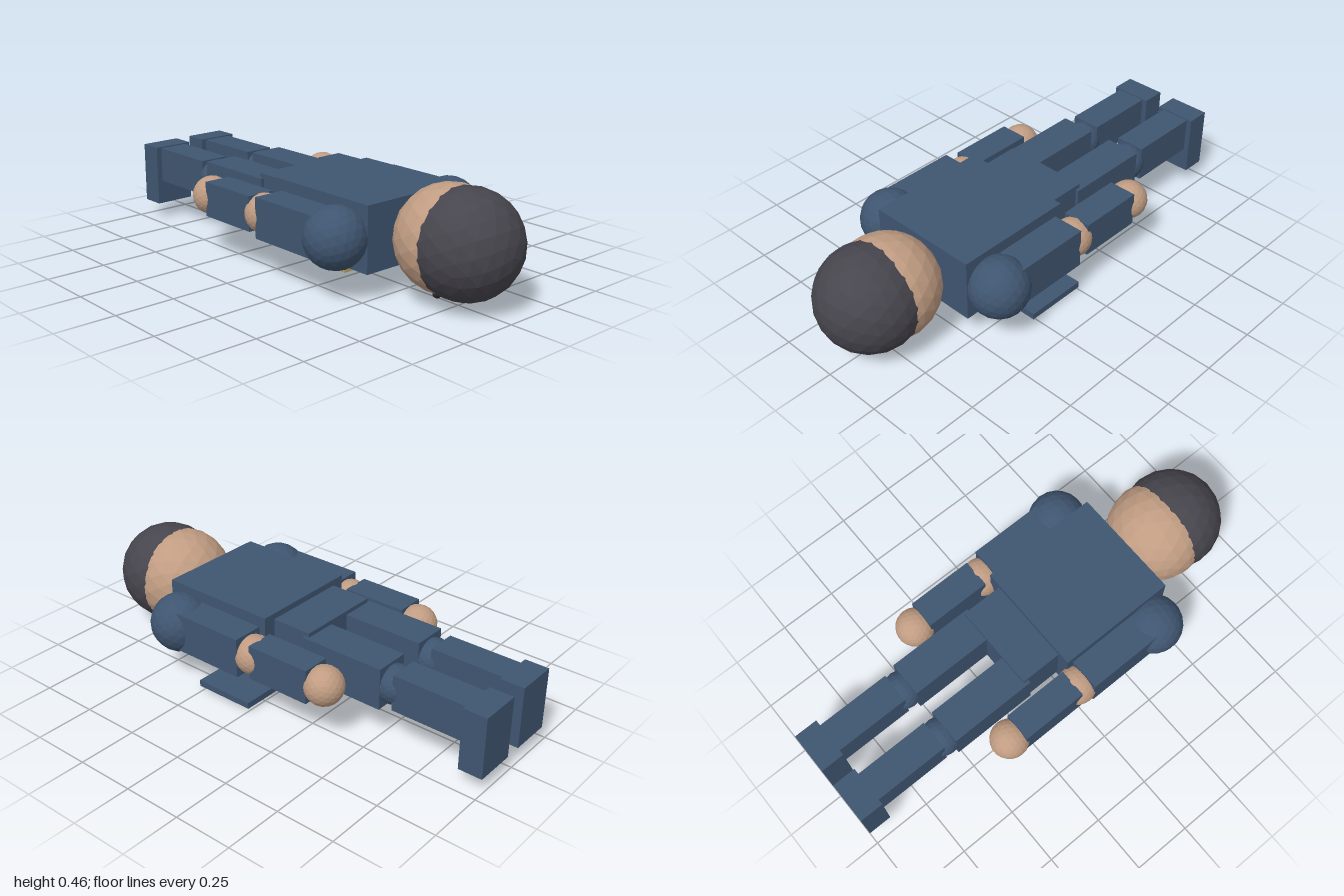
import * as THREE from 'three';

const mat = (name, color) => {
  const m = new THREE.MeshStandardMaterial({ color });
  m.name = name;
  return m;
};

export function createModel() {
  const group = new THREE.Group();
  const blue = mat('uniform blue', 0x3f5570);
  const skin = mat('skin', 0xc09c82);
  const dark = mat('hair charcoal', 0x47454d);
  const eyeDark = mat('eye black', 0x26262b);
  const gold = mat('gold trim', 0xb8a262);
  const teal = mat('screen teal', 0x559db4);

  const add = (name, geometry, material) => {
    const mesh = new THREE.Mesh(geometry, material);
    mesh.name = name;
    group.add(mesh);
  };

  // Box given by its min and max along each axis
  const box = (name, material, [x0, x1], [y0, y1], [z0, z1]) => {
    const g = new THREE.BoxGeometry(x1 - x0, y1 - y0, z1 - z0);
    g.translate((x0 + x1) / 2, (y0 + y1) / 2, (z0 + z1) / 2);
    add(name, g, material);
  };

  // Faceted ball with a vertex pointing along z
  const ball = (name, material, r, x, y, z, detail = 3) => {
    const g = new THREE.IcosahedronGeometry(r, detail);
    g.rotateX(Math.atan(2 / (1 + Math.sqrt(5))));
    g.translate(x, y, z);
    add(name, g, material);
  };

  // Head and hair
  const Y = 0.246;
  ball('head', skin, 0.212, 0, Y, 0.70);
  ball('hair', dark, 0.215, 0, Y, 0.782);

  // Trunk
  box('torso', blue, [-0.243, 0.243], [0.113, 0.379], [0, 0.517]);
  box('pelvis', blue, [-0.187, 0.187], [0.14, 0.353], [-0.178, 0.02]);

  // Trim across the chest
  box('chestStripe', gold, [-0.25, 0.25], [0.092, 0.116], [0.308, 0.402]);
  box('chestBadge', gold, [-0.08, 0.08], [0.085, 0.106], [0.195, 0.278]);

  // Limbs, mirrored left and right
  for (const [side, s] of [['left', 1], ['right', -1]]) {
    const span = (c, w) => [s * c - w / 2, s * c + w / 2];
    const arm = 0.306, leg = 0.125;
    ball(side + 'Eye', eyeDark, 0.018, s * 0.073, 0.053, 0.71, 1);

    ball(side + 'Shoulder', blue, 0.124, s * arm, Y, 0.411);
    box(side + 'UpperArm', blue, span(arm, 0.144), [0.163, 0.332], [0.03, 0.42]);
    ball(side + 'Elbow', skin, 0.082, s * arm, Y, 0);
    box(side + 'Forearm', blue, span(arm, 0.122), [0.175, 0.321], [-0.31, -0.025]);
    ball(side + 'Hand', skin, 0.081, s * arm, Y, -0.35);

    box(side + 'Thigh', blue, span(leg, 0.152), [0.159, 0.335], [-0.53, -0.155]);
    ball(side + 'Knee', blue, 0.081, s * leg, Y, -0.553);
    box(side + 'Shin', blue, span(leg, 0.13), [0.173, 0.326], [-0.91, -0.58]);
    box(side + 'Foot', blue, span(leg, 0.178), [0.068, 0.331], [-1, -0.898]);
  }

  // Tablet held beneath the left side of the chest
  box('tablet', blue, [0.134, 0.352], [0.013, 0.04], [0, 0.268]);
  box('tabletScreen', teal, [0.153, 0.333], [0, 0.013], [0.028, 0.242]);

  // Crisp facets on every ball
  group.traverse((o) => {
    if (o.isMesh) o.geometry.computeVertexNormals();
  });
  return group;
}
